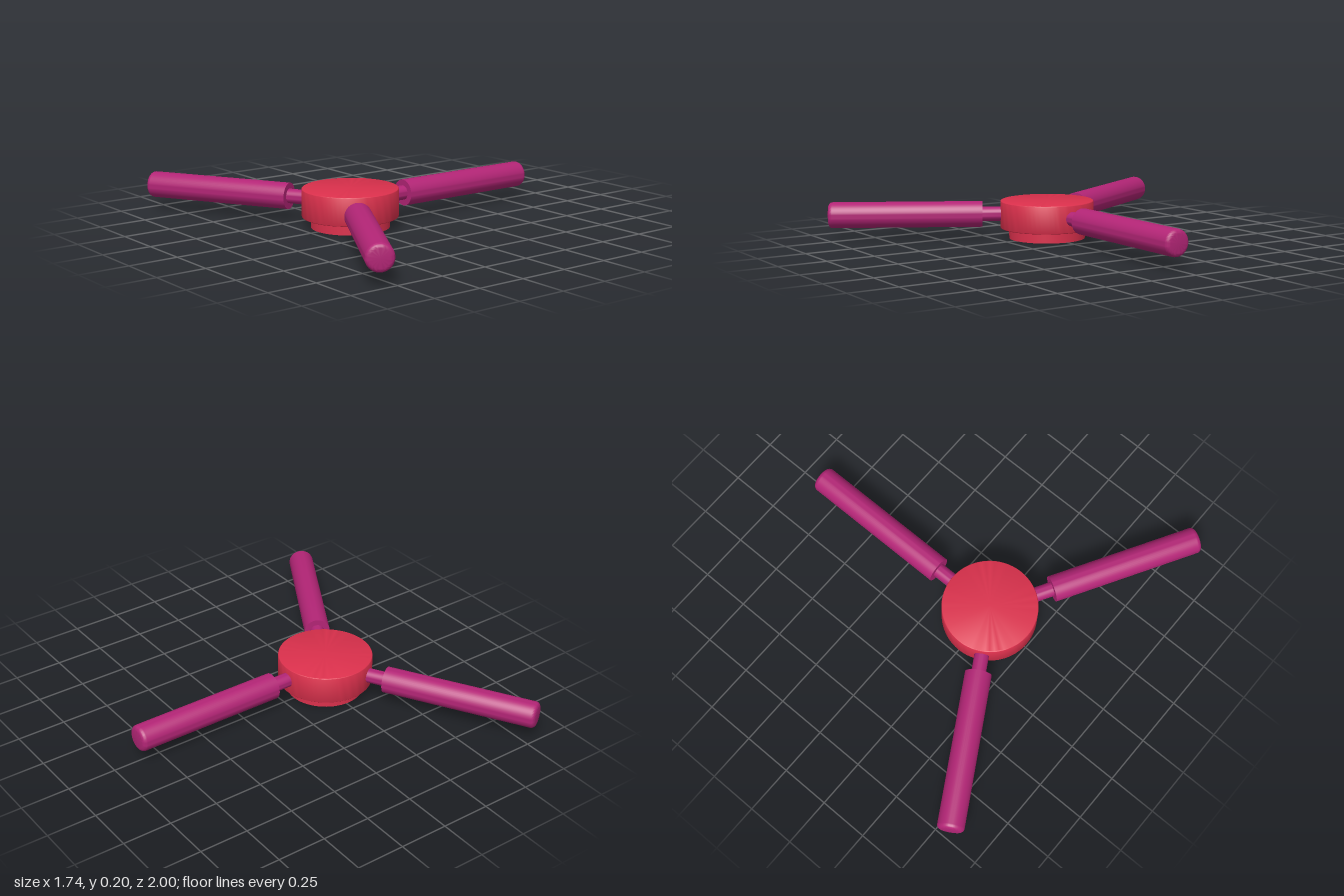
import * as THREE from 'three';
import { toCreasedNormals } from 'three/addons/utils/BufferGeometryUtils.js';

// Solid of revolution about y, from y0 to y1, with rounded lower and upper rims
function roundedDisc(radius, y0, y1, lowerRound, upperRound, segments = 64) {
  const points = [new THREE.Vector2(0, y0)];
  const steps = 5;
  const rim = (r, y, from) => {
    if (r === 0) return points.push(new THREE.Vector2(radius, y));
    const cy = from < 0 ? y + r : y - r;
    for (let i = 0; i <= steps; i++) {
      const a = from + (i / steps) * Math.PI / 2;
      points.push(new THREE.Vector2(radius - r + r * Math.cos(a), cy + r * Math.sin(a)));
    }
  };
  rim(lowerRound, y0, -Math.PI / 2);
  rim(upperRound, y1, 0);
  points.push(new THREE.Vector2(0, y1));
  return toCreasedNormals(new THREE.LatheGeometry(points, segments), 0.6);
}

export function createModel() {
  const red = new THREE.MeshStandardMaterial({ color: 0xdb304c });
  red.name = 'red';
  const magenta = new THREE.MeshStandardMaterial({ color: 0xb32576 });
  magenta.name = 'magenta';

  const model = new THREE.Group();
  model.name = 'threeArmHandwheel';
  const add = (parent, name, geometry, material) => {
    const mesh = new THREE.Mesh(geometry, material);
    mesh.name = name;
    parent.add(mesh);
    return mesh;
  };

  // Hub and the narrower foot beneath it
  const hub = new THREE.Group();
  hub.name = 'hub';
  hub.position.x = -0.26;
  model.add(hub);
  add(hub, 'hubBody', roundedDisc(0.242, 0.053, 0.197, 0.006, 0.006), red);
  add(hub, 'hubFoot', roundedDisc(0.197, 0, 0.06, 0, 0), red);

  // Three arms: thin stem, then a thick grip with a rounded outer end
  const stem = roundedDisc(0.037, 0.2, 0.36, 0, 0, 32).rotateZ(-Math.PI / 2);
  const grip = roundedDisc(0.067, 0.335, 1.128, 0, 0.022, 48).rotateZ(-Math.PI / 2);
  for (let i = 0; i < 3; i++) {
    const arm = new THREE.Group();
    arm.name = 'arm' + (i + 1);
    arm.position.y = 0.127;
    arm.rotation.y = (i * Math.PI * 2) / 3;
    add(arm, 'stem', stem, magenta);
    add(arm, 'grip', grip, magenta);
    hub.add(arm);
  }
  return model;
}
